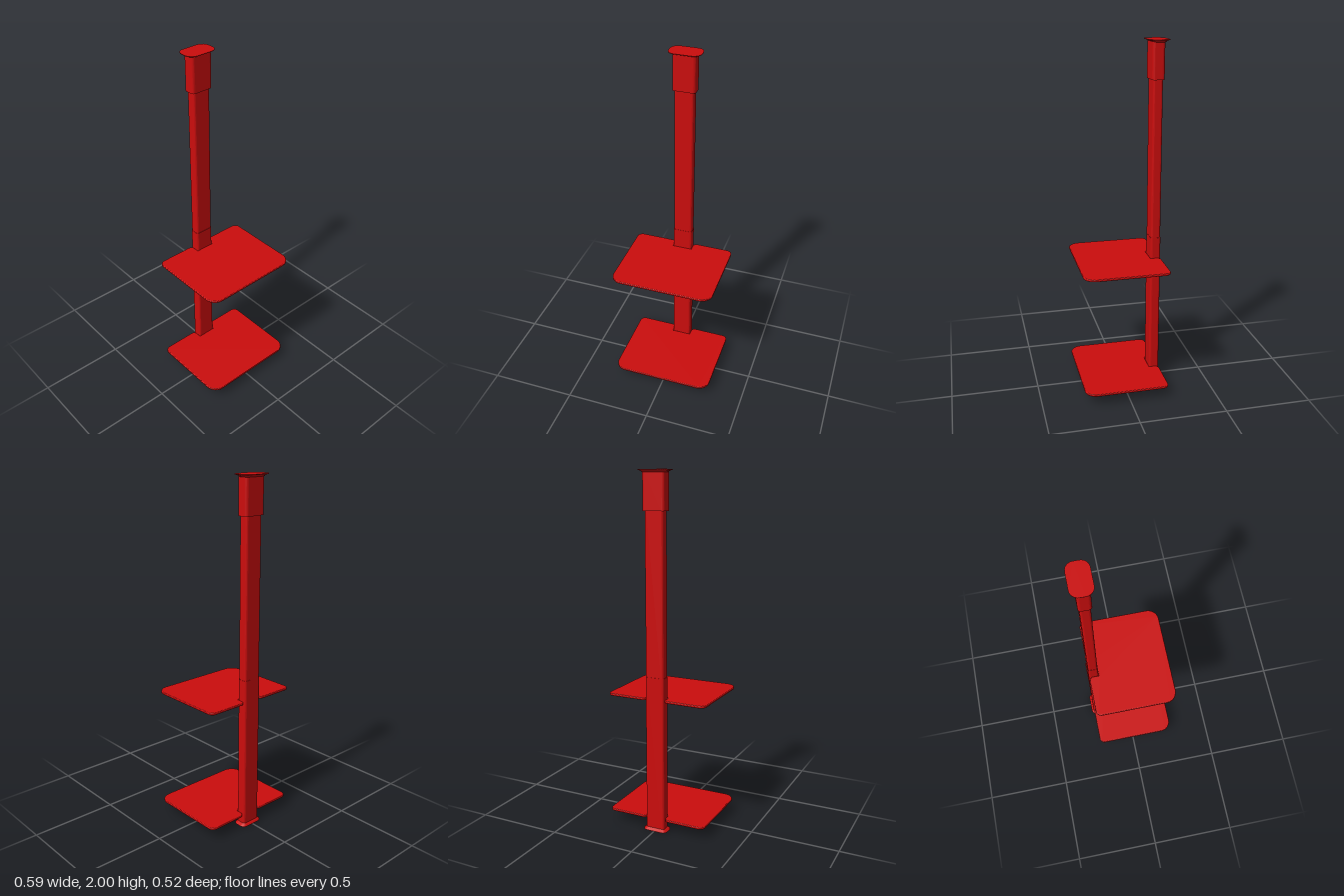
import * as THREE from 'three';

const COLUMN_Z = -0.198;
const red = new THREE.MeshStandardMaterial({ color: 0xcc0d0d });

// Rounded rectangle outline, counter-clockwise, centred on the origin
function roundedRect(w, d, r, steps = 6) {
  const pts = [];
  const centres = [[1, 1], [-1, 1], [-1, -1], [1, -1]];
  centres.forEach(([sx, sy], c) => {
    for (let i = 0; i <= steps; i++) {
      const a = (c + i / steps) * Math.PI / 2;
      pts.push(new THREE.Vector2(
        sx * (w / 2 - r) + r * Math.cos(a),
        sy * (d / 2 - r) + r * Math.sin(a)));
    }
  });
  return pts;
}

// Straight rounded post between two heights
function post(name, w, d, r, y0, y1) {
  const geo = new THREE.ExtrudeGeometry(new THREE.Shape(roundedRect(w, d, r)), {
    depth: y1 - y0, bevelEnabled: false,
  });
  geo.rotateX(-Math.PI / 2);
  const mesh = new THREE.Mesh(geo, red);
  mesh.name = name;
  mesh.position.set(0, y0, COLUMN_Z);
  return mesh;
}

// Closed loft through rounded rectangles given as [y, width, depth, radius]
function loft(name, sections) {
  const pos = [], idx = [];
  const rings = sections.map(([, w, d, r]) => roundedRect(w, d, r));
  const n = rings[0].length;
  rings.forEach((ring, k) => ring.forEach(p => pos.push(p.x, sections[k][0], -p.y)));
  for (let k = 0; k < rings.length - 1; k++) {
    for (let i = 0; i < n; i++) {
      const a = k * n + i, b = k * n + (i + 1) % n;
      idx.push(a, b, b + n, a, b + n, a + n);
    }
  }
  // End caps with their own vertices keep the rims sharp
  [0, rings.length - 1].forEach((k, top) => {
    const start = pos.length / 3;
    rings[k].forEach(p => pos.push(p.x, sections[k][0], -p.y));
    for (let i = 1; i < n - 1; i++) {
      if (top) idx.push(start, start + i, start + i + 1);
      else idx.push(start, start + i + 1, start + i);
    }
  });
  const geo = new THREE.BufferGeometry();
  geo.setAttribute('position', new THREE.Float32BufferAttribute(pos, 3));
  geo.setIndex(idx);
  geo.computeVertexNormals();
  const mesh = new THREE.Mesh(geo, red);
  mesh.name = name;
  mesh.position.z = COLUMN_Z;
  return mesh;
}

// Tray with rounded corners and a notch at the back that fits round the column
function tray(name, y) {
  const b = 0.004, X = 0.297 - b, F = -0.257 + b, B = 0.225 - b;
  const rf = 0.062, rb = 0.028, nx = 0.056 + b, nz = 0.168 - b, f = 0.02;
  const s = new THREE.Shape();
  s.moveTo(-X + rf, F);
  s.lineTo(X - rf, F);
  s.absarc(X - rf, F + rf, rf, -Math.PI / 2, 0, false);
  s.lineTo(X, B - rb);
  s.absarc(X - rb, B - rb, rb, 0, Math.PI / 2, false);
  s.lineTo(nx + f, B);
  s.absarc(nx + f, B - f, f, Math.PI / 2, Math.PI, false);
  s.lineTo(nx, nz);
  s.lineTo(-nx, nz);
  s.lineTo(-nx, B - f);
  s.absarc(-nx - f, B - f, f, 0, Math.PI / 2, false);
  s.lineTo(-X + rb, B);
  s.absarc(-X + rb, B - rb, rb, Math.PI / 2, Math.PI, false);
  s.lineTo(-X, F + rf);
  s.absarc(-X + rf, F + rf, rf, Math.PI, Math.PI * 1.5, false);
  const geo = new THREE.ExtrudeGeometry(s, {
    depth: 0.006, bevelThickness: b, bevelSize: b, bevelSegments: 3, curveSegments: 10,
  });
  geo.rotateX(-Math.PI / 2);
  const mesh = new THREE.Mesh(geo, red);
  mesh.name = name;
  mesh.position.y = y - 0.003;
  return mesh;
}

export function createModel() {
  const model = new THREE.Group();
  model.name = 'shelfStand';

  // Column in two lengths, with a wider sleeve at the top
  model.add(post('lowerColumn', 0.112, 0.059, 0.013, 0.005, 0.9));
  model.add(post('upperColumn', 0.109, 0.056, 0.013, 0.9, 1.8));
  model.add(post('topSleeve', 0.13, 0.07, 0.016, 1.79, 1.992));

  // Flared foot and ceiling plate
  model.add(loft('foot', [
    [0, 0.144, 0.084, 0.027], [0.006, 0.144, 0.084, 0.027],
    [0.012, 0.122, 0.068, 0.019], [0.016, 0.112, 0.059, 0.013],
  ]));
  const plate = loft('ceilingPlate', [
    [1.985, 0.13, 0.07, 0.016], [1.991, 0.146, 0.082, 0.028],
    [1.997, 0.18, 0.116, 0.044], [2, 0.18, 0.116, 0.044],
  ]);
  plate.position.z = -0.202;
  model.add(plate);

  // Trays
  model.add(tray('lowerTray', 0.071));
  model.add(tray('upperTray', 0.771));
  return model;
}
